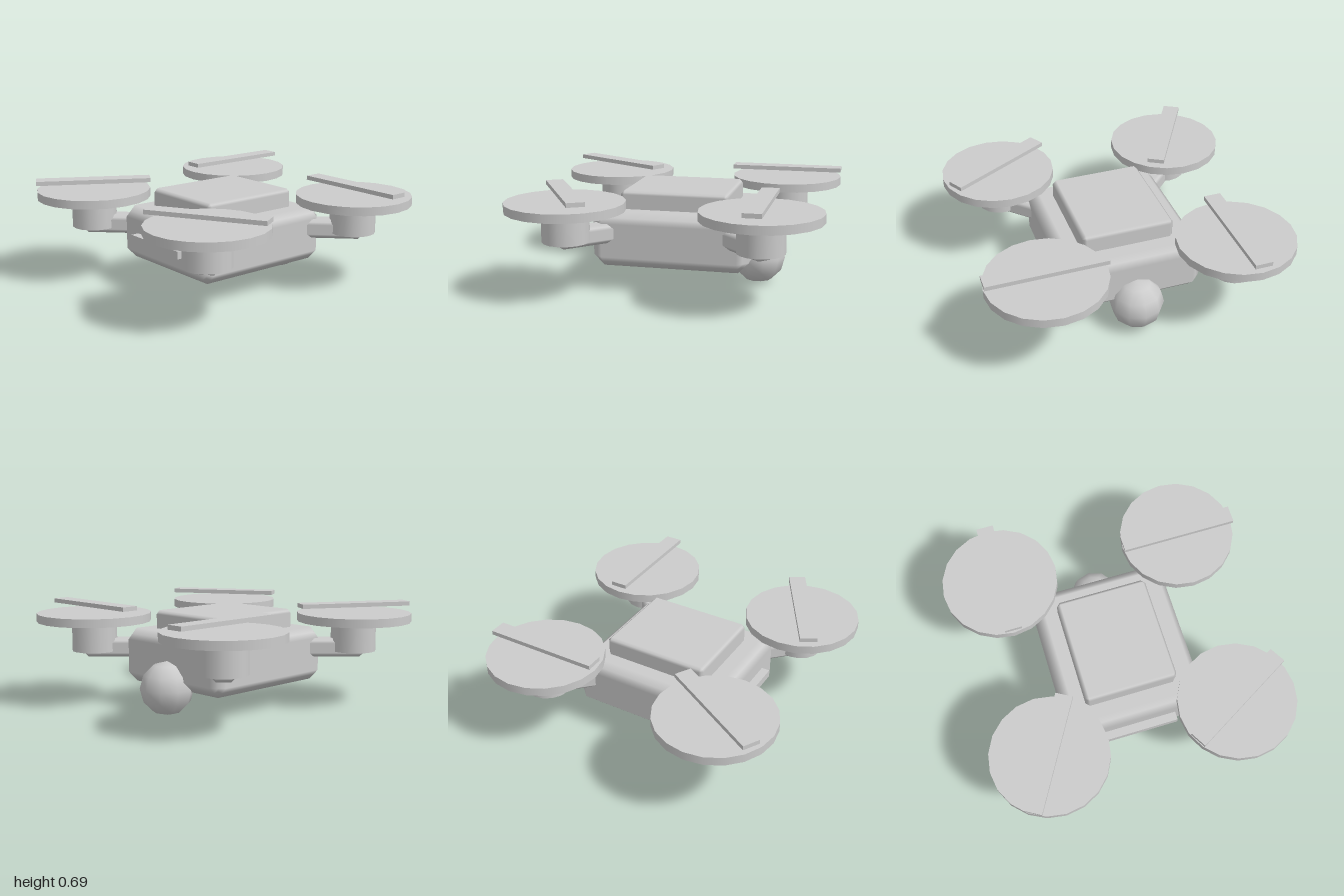
import * as THREE from 'three';

const grey = new THREE.MeshStandardMaterial({ color: 0xcccccc });

function add(parent, name, geometry, x = 0, y = 0, z = 0) {
  const mesh = new THREE.Mesh(geometry, grey);
  mesh.name = name;
  mesh.position.set(x, y, z);
  parent.add(mesh);
  return mesh;
}

// Box with one straight, softly shaded chamfer of width b on every edge.
function chamferBox(w, h, d, b) {
  const geometry = new THREE.BoxGeometry(1, 1, 1, 3, 3, 3);
  const pos = geometry.attributes.position;
  const size = [w, h, d];
  const outerInset = [0, 0, b / 2, b * 2 / 3];
  for (let i = 0; i < pos.count; i++) {
    const p = [pos.getX(i), pos.getY(i), pos.getZ(i)];
    const outer = p.map(v => Math.abs(v) > 0.4);
    const count = outer.filter(Boolean).length;
    const q = p.map((v, k) => Math.sign(v) * (size[k] / 2 - (outer[k] ? outerInset[count] : b)));
    const n = new THREE.Vector3(...p.map((v, k) => (outer[k] ? Math.sign(v) : 0))).normalize();
    pos.setXYZ(i, ...q);
    geometry.attributes.normal.setXYZ(i, n.x, n.y, n.z);
  }
  return geometry;
}

export function createModel() {
  const drone = new THREE.Group();
  drone.name = 'quadcopter';

  // Hull, raised lid and front light strip
  add(drone, 'body', chamferBox(0.92, 0.36, 1.02, 0.07), 0, 0.34, 0);
  add(drone, 'lid', chamferBox(0.61, 0.16, 0.71, 0.025), 0, 0.56, 0);
  add(drone, 'frontStrip', new THREE.BoxGeometry(0.51, 0.05, 0.11), 0, 0.337, 0.51);

  // Camera ball under the rear edge
  const ball = add(drone, 'cameraBall', new THREE.SphereGeometry(0.176, 10, 6), 0, 0.176, -0.515);
  ball.rotation.y = Math.PI / 2;

  // Four rotor units; each blade is turned a further 30 degrees
  const corners = [[1, -1], [1, 1], [-1, 1], [-1, -1]];
  corners.forEach(([sx, sz], i) => {
    const unit = new THREE.Group();
    unit.name = 'rotorUnit' + (i + 1);
    unit.position.set(sx * 0.618, 0, sz * 0.618);
    drone.add(unit);

    const arm = add(unit, 'arm', chamferBox(0.56, 0.125, 0.15, 0.03), -sx * 0.15, 0.388, -sz * 0.15);
    arm.rotation.y = -sx * sz * Math.PI / 4;
    add(unit, 'motor', new THREE.CylinderGeometry(0.152, 0.152, 0.205, 16), 0, 0.467, 0);
    add(unit, 'rotorDisc', new THREE.CylinderGeometry(0.382, 0.382, 0.056, 20), 0, 0.594, 0);
    const blade = add(unit, 'blade', new THREE.BoxGeometry(0.764, 0.028, 0.113), 0, 0.676, 0);
    blade.rotation.y = i * Math.PI / 6;
  });

  return drone;
}
